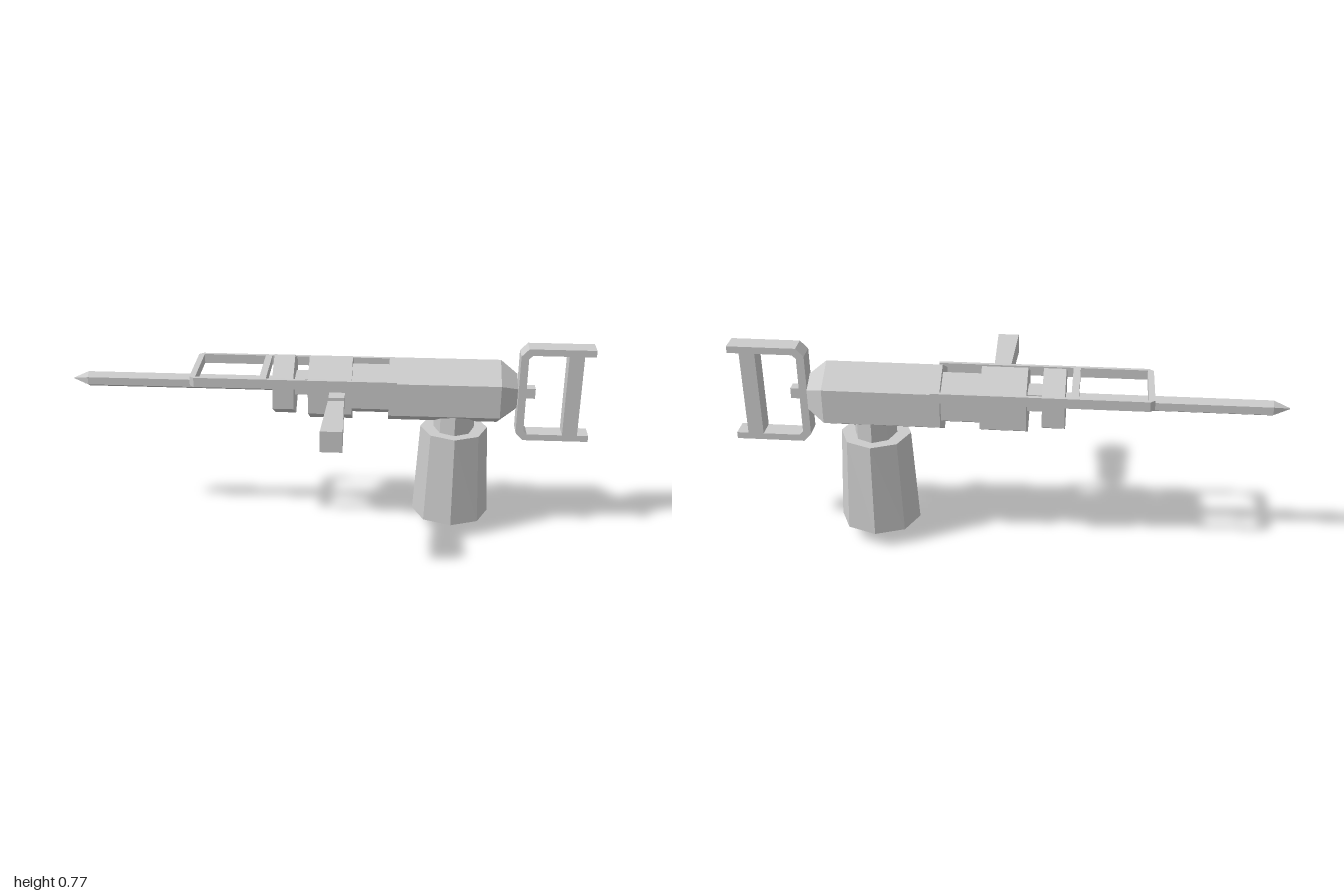
import * as THREE from 'three';

export function createModel() {
  const root = new THREE.Group();
  const mat = new THREE.MeshStandardMaterial({ color: 0xcccccc, flatShading: true });
  const AXIS_Y = 0.583, AXIS_Z = -0.17;

  const add = (name, geo, x = 0, y = 0, z = 0) => {
    const mesh = new THREE.Mesh(geo, mat);
    mesh.name = name;
    mesh.position.set(x, y, z);
    root.add(mesh);
    return mesh;
  };
  // Hexagonal section along x, with an edge pointing up
  const hex = (name, x0, x1, r0, r1, y = AXIS_Y, z = AXIS_Z) => {
    const geo = new THREE.CylinderGeometry(r1, r0, x1 - x0, 6, 1, false, Math.PI / 6);
    geo.rotateZ(-Math.PI / 2);
    return add(name, geo, (x0 + x1) / 2, y, z);
  };
  // Box given by its limits
  const box = (name, x0, x1, y0, y1, z0, z1) =>
    add(name, new THREE.BoxGeometry(x1 - x0, y1 - y0, z1 - z0), (x0 + x1) / 2, (y0 + y1) / 2, (z0 + z1) / 2);
  const shape = pts => new THREE.Shape(pts.map(p => new THREE.Vector2(...p)));
  const extrude = (s, depth) => new THREE.ExtrudeGeometry(s, { depth, bevelEnabled: false });

  // Hexagonal body
  hex('mainBody', 0.23, 0.65, 0.129, 0.129);
  hex('bodyEndTaper', 0.65, 0.715, 0.129, 0.074);
  hex('bodyWaist', 0.09, 0.23, 0.1, 0.1);
  hex('frontBody', -0.075, 0.09, 0.129, 0.129);
  hex('frontCollar', -0.21, -0.13, 0.121, 0.121, 0.592);
  box('collarLink', -0.13, -0.075, 0.565, 0.63, -0.22, -0.13);

  // Pointed spike
  hex('spikeShaft', -0.94, -0.075, 0.03, 0.03, 0.592, -0.175);
  hex('spikeTip', -1, -0.94, 0.002, 0.03, 0.592, -0.175);

  // Rail frame around the body
  const rail = shape([
    [0.26, -0.04], [-0.505, -0.04], [-0.522, -0.055], [-0.522, -0.285], [-0.505, -0.3], [0.26, -0.3],
    [0.26, -0.286], [-0.5, -0.286], [-0.5, -0.054], [0.26, -0.054],
  ]);
  add('railFrame', extrude(rail, 0.037).rotateX(Math.PI / 2), 0, 0.661, 0);
  box('railCrossbar', -0.258, -0.232, 0.624, 0.661, -0.29, -0.05);

  // Rear handle frame with its grip bar
  const frame = shape([
    [1, 0.77], [0.75, 0.77], [0.722, 0.74], [0.722, 0.425], [0.75, 0.395], [1, 0.395],
    [1, 0.42], [0.957, 0.42], [0.957, 0.744], [1, 0.744],
  ]);
  frame.holes.push(shape([
    [0.765, 0.744], [0.9, 0.744], [0.9, 0.42], [0.765, 0.42], [0.751, 0.435], [0.751, 0.73],
  ]));
  add('rearHandle', extrude(frame, 0.07), 0, 0, AXIS_Z - 0.035);
  box('rearPin', 0.7, 0.787, 0.564, 0.604, AXIS_Z - 0.02, AXIS_Z + 0.02);

  // Side handle: mount, thin neck and flared grip
  box('sideHandleMount', 0.006, 0.066, 0.548, 0.608, -0.1, -0.008);
  box('sideHandleNeck', 0.02, 0.052, 0.562, 0.594, -0.01, 0.022);
  const grip = new THREE.CylinderGeometry(0.04 * Math.SQRT2, 0.03 * Math.SQRT2, 0.29, 4, 1, false, Math.PI / 4);
  add('sideHandleGrip', grip.rotateX(Math.PI / 2), 0.036, 0.578, 0.165);

  // Octagonal canister, a little flattened in z towards its base
  const lathe = pts => new THREE.LatheGeometry(pts.map(p => new THREE.Vector2(...p)), 8);
  const canister = lathe([[0, 0.003], [0.15, 0.065], [0.129, 0.43], [0, 0.43]]);
  const pos = canister.attributes.position;
  for (let i = 0; i < pos.count; i++) {
    if (pos.getY(i) < 0.2) pos.setZ(i, pos.getZ(i) * 0.92);
  }
  add('canister', canister, 0.485, 0, AXIS_Z);
  add('canisterNeck', lathe([[0.078, 0.42], [0.078, 0.55]]).scale(1, 1, 1.16), 0.485, 0, AXIS_Z);

  return root;
}
